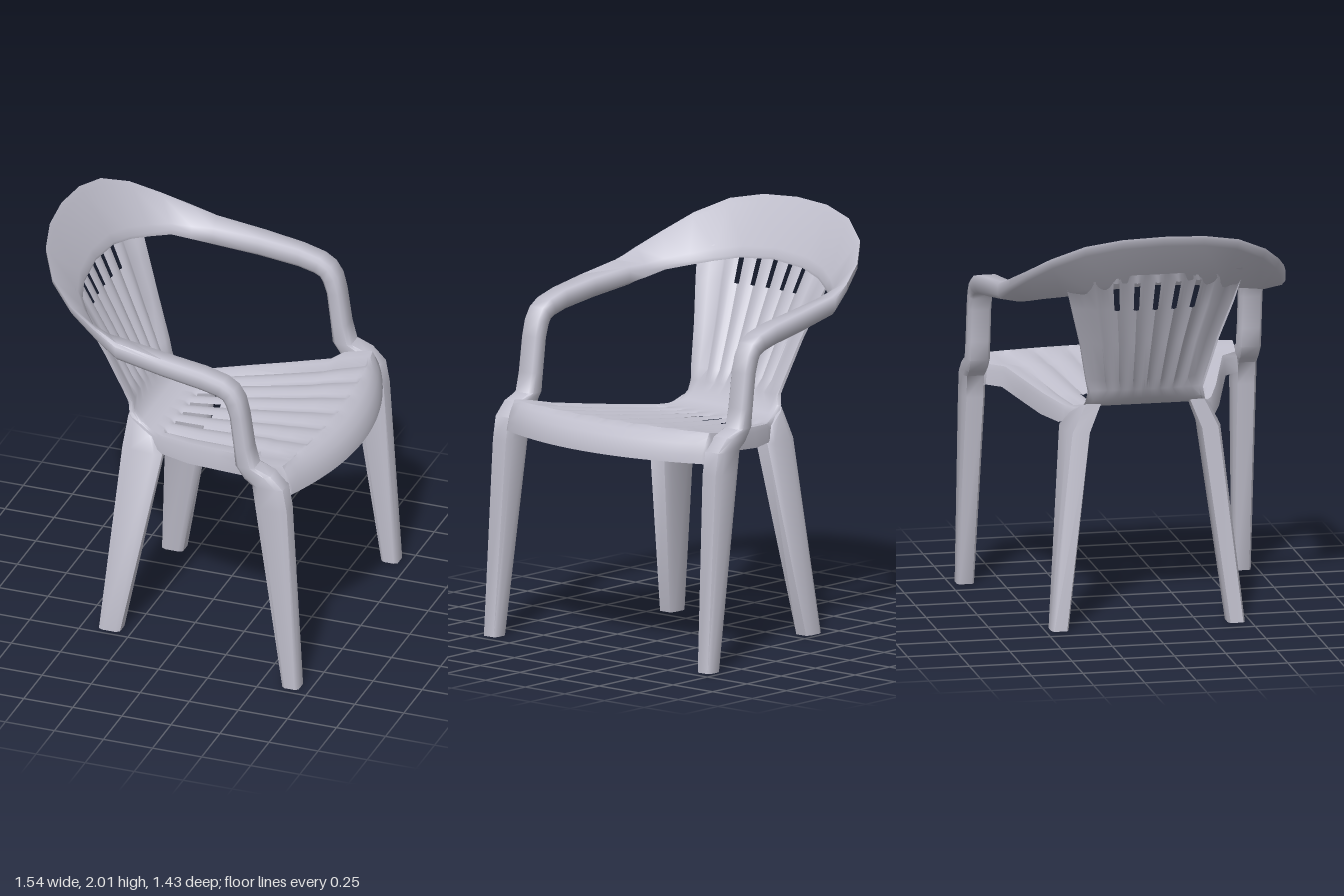
import * as THREE from 'three';
import { toCreasedNormals } from 'three/addons/utils/BufferGeometryUtils.js';

const plastic = new THREE.MeshStandardMaterial({ color: 0xc0bfcc, side: THREE.DoubleSide });
plastic.name = 'pale grey plastic';

function makeMesh(name, points, index, crease) {
  const geometry = new THREE.BufferGeometry();
  geometry.setAttribute('position', new THREE.Float32BufferAttribute(points, 3));
  geometry.setIndex(index);
  const mesh = new THREE.Mesh(toCreasedNormals(geometry, crease), plastic);
  mesh.name = name;
  return mesh;
}

// Station = outer corner, inner corner, and the x, y step from them to the far side.
const station = (o, i, dx, dy, dz = 0) => ({
  o: new THREE.Vector3(...o), i: new THREE.Vector3(...i), d: new THREE.Vector3(dx, dy, dz),
});
const flip = (v) => new THREE.Vector3(v.x, v.y, -v.z);
const mirror = (list) => list.map((s) => ({ o: flip(s.o), i: flip(s.i), d: flip(s.d) })).reverse();

// Closed bar with chamfered corners running through the stations.
function loft(name, stations) {
  const points = [], index = [], n = 8;
  for (const { o, i, d } of stations) {
    const corners = [o, i, i.clone().add(d), o.clone().add(d)];
    corners.forEach((a, k) => {
      const b = corners[(k + 1) % 4], t = k % 2 ? 0.2 : 0.13;
      points.push(...a.clone().lerp(b, t).toArray(), ...a.clone().lerp(b, 1 - t).toArray());
    });
  }
  const last = (stations.length - 1) * n;
  for (let j = 0; j < last; j += n) {
    for (let k = 0; k < n; k++) {
      const a = j + k, b = j + (k + 1) % n;
      index.push(a, a + n, b, b, a + n, b + n);
    }
  }
  for (let k = 1; k < n - 1; k++) {
    index.push(0, k, k + 1, last, last + k + 1, last + k);
  }
  return makeMesh(name, points, index, 1);
}

// Crest rail, arm and front leg as one sweep, from the middle of the crest to a foot.
function frameStations() {
  const crest = [
    station([-0.775, 2.01, 0], [-0.6, 1.745, 0], 0, -0.022),
    station([-0.76, 2, 0.2], [-0.585, 1.73, 0.2], 0, -0.022),
    station([-0.715, 1.965, 0.375], [-0.545, 1.705, 0.33], 0, -0.025),
    station([-0.625, 1.89, 0.525], [-0.48, 1.685, 0.43], 0, -0.03),
    station([-0.5, 1.81, 0.615], [-0.41, 1.67, 0.52], 0, -0.04),
    station([-0.36, 1.745, 0.67], [-0.32, 1.66, 0.555], 0, -0.06),
    station([-0.24, 1.695, 0.702], [-0.22, 1.665, 0.575], 0, -0.085),
    station([0, 1.655, 0.714], [0, 1.645, 0.6], 0, -0.09),
  ];
  // Front edge x, y, and the step to the back edge.
  const armAndLeg = [
    [0.2, 1.62, 0, -0.09], [0.31, 1.59, -0.03, -0.08], [0.365, 1.555, -0.055, -0.06],
    [0.4, 1.5, -0.075, -0.03], [0.42, 1.42, -0.075, -0.01], [0.445, 1.25, -0.08, 0],
    [0.47, 1.155, -0.095, 0], [0.55, 1.125, -0.13, -0.035], [0.615, 1.06, -0.155, 0],
    [0.635, 0.95, -0.16, 0], [0.697, 0, -0.083, 0],
  ].map(([x, y, dx, dy]) => {
    const inner = y > 0 ? 0.606 : 0.633;
    return station([x, y, 0.717], [x, y, inner], dx, dy);
  });
  const half = [...crest, ...armAndLeg];
  return [...mirror(half.slice(1)), ...half];
}

// Centre line of the shell from front lip to top of the back: x, y, half width, edge bow.
const ROWS = [
  [0.762, 1, 0.61, -0.13], [0.757, 1.04, 0.61, -0.13], [0.73, 1.09, 0.615, -0.12],
  [0.69, 1.125, 0.615, -0.1], [0.64, 1.143, 0.615, -0.06], [0.61, 1.143, 0.615, -0.04],
  [0.5, 1.13, 0.61, -0.01], [0.44, 1.12, 0.6, 0], [0.4, 1.114, 0.53, 0],
  [0.2, 1.086, 0.47, 0], [0.03, 1.064, 0.42, 0], [-0.125, 1.047, 0.365, 0],
  [-0.15, 1.045, 0.35, 0], [-0.2, 1.047, 0.32, 0], [-0.26, 1.065, 0.29, 0],
  [-0.3, 1.1, 0.275, 0], [-0.325, 1.15, 0.265, 0.015], [-0.355, 1.21, 0.28, 0.025],
  [-0.455, 1.41, 0.325, 0.05], [-0.55, 1.6, 0.38, 0.07], [-0.622, 1.75, 0.42, 0.075],
  [-0.645, 1.79, 0.4, 0.045],
];
const SLOT_ROWS = [10, 19];

// Fluted seat and back with open slots and a turned-down rim.
function shell() {
  // Columns in flute units; slots sit within 0.14 of a whole number.
  const flutes = [-3];
  for (let k = -3; k < 3; k++) {
    for (const f of [0.14, 0.32, 0.5, 0.68, 0.86, 1]) flutes.push(k + f);
  }
  const points = [], index = [];
  ROWS.forEach(([x, y, hw, bow], r) => {
    const pitch = Math.min((x < -0.3 ? 0.24 : 0.27) * hw, 0.111 + 0.09 * Math.abs(x));
    const onSeat = x > -0.13 && x < 0.62, onBack = x < -0.34 && x > -0.63;
    const depth = onSeat ? 0.018 : onBack ? 0.013 : 0;
    const skirtX = x < -0.25 && x > -0.6 ? -0.02 : 0;
    const skirtY = x > 0.45 ? 0.998 - y : -0.1 * THREE.MathUtils.clamp((x + 0.3) / 0.2, 0, 1);
    const a = ROWS[Math.max(r - 1, 0)], b = ROWS[Math.min(r + 1, ROWS.length - 1)];
    const normal = new THREE.Vector2(b[1] - a[1], a[0] - b[0]).normalize();
    const put = (z, drop, t) => points.push(
      x + bow * (z / hw) ** 2 - normal.x * drop + skirtX * t, y - normal.y * drop + skirtY * t, z);
    const edge = (side) => {
      const list = [[hw + 0.016, 1], [hw + 0.01, 0.25], [hw, 0], [(hw + 3 * pitch) / 2, 0]];
      if (side > 0) list.reverse();
      for (const [z, t] of list) put(side * z, 0, t);
    };
    edge(-1);
    for (const c of flutes) put(c * pitch, depth * (1 - Math.abs(Math.sin(Math.PI * c))), 0);
    edge(1);
  });
  const cols = flutes.length + 8;
  for (let r = 0; r < ROWS.length - 1; r++) {
    for (let c = 0; c < cols - 1; c++) {
      const middle = (flutes[c - 4] + flutes[c - 3]) / 2;
      const nearest = Math.round(middle);
      const open = SLOT_ROWS.includes(r) && Math.abs(nearest) < 3 && Math.abs(middle - nearest) < 0.14;
      if (open) continue;
      const p = r * cols + c, q = p + cols;
      index.push(p, p + 1, q, p + 1, q + 1, q);
    }
  }
  return makeMesh('seatAndBack', points, index, 0.8);
}

export function createModel() {
  const group = new THREE.Group();
  group.name = 'armchair';
  group.add(shell(), loft('crestArmsAndFrontLegs', frameStations()));

  // Splayed rear legs
  const rear = [
    station([-0.17, 1.01, 0.35], [-0.18, 1.01, 0.255], -0.155, 0.08, -0.05),
    station([-0.12, 0.95, 0.39], [-0.135, 0.95, 0.28], -0.21, 0, -0.02),
    station([-0.305, 0, 0.472], [-0.305, 0, 0.388], -0.107, 0),
  ];
  group.add(loft('leftRearLeg', rear), loft('rightRearLeg', mirror(rear)));
  return group;
}
